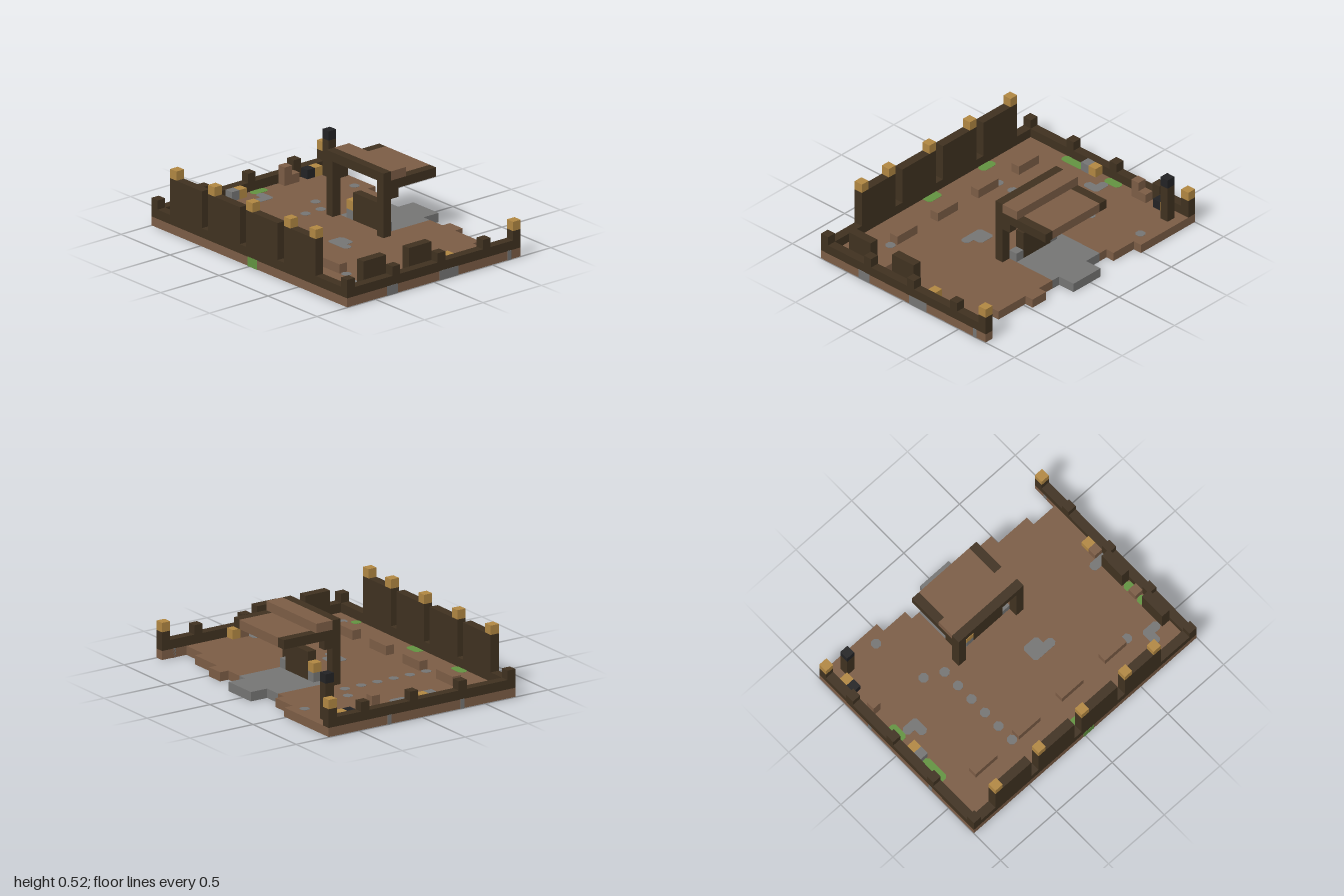
import * as THREE from 'three';

// Everything sits on a block grid: 23 wide (x), 8 high (y), 31 deep (z)
const U = 2 / 31;
const X = i => (i - 11.5) * U;
const Z = k => (k - 15.5) * U;

export function createModel() {
  const root = new THREE.Group();
  root.name = 'walledYard';
  const mat = (name, color) => {
    const m = new THREE.MeshStandardMaterial({ color });
    m.name = name;
    return m;
  };
  const brown = mat('brownEarth', 0x7b5c45);
  const dark = mat('darkTimber', 0x3f3120);
  const tan = mat('lanternTan', 0xb08642);
  const grey = mat('stoneGrey', 0x747473);
  const green = mat('mossGreen', 0x629240);
  const black = mat('charBlack', 0x222224);

  // Box covering grid cells i0..i1, j0..j1, k0..k1 inclusive
  function box(name, m, i0, i1, j0, j1, k0, k1) {
    const g = new THREE.BoxGeometry((i1 - i0 + 1) * U, (j1 - j0 + 1) * U, (k1 - k0 + 1) * U);
    const mesh = new THREE.Mesh(g, m);
    mesh.position.set((X(i0) + X(i1 + 1)) / 2, (j0 + j1 + 1) * U / 2, (Z(k0) + Z(k1 + 1)) / 2);
    mesh.name = name;
    root.add(mesh);
    return mesh;
  }

  // Cut-corner patch set through the floor, showing above and below
  function patch(name, m, i0, i1, k0, k1) {
    const e = 0.0015, c = 0.018;
    const a = X(i0) - (i0 === 0 ? e : 0), b = X(i1 + 1);
    const lo = -Z(k1 + 1) - (k1 === 30 ? e : 0), hi = -Z(k0) + (k0 === 0 ? e : 0);
    const pts = [[a + c, lo], [b - c, lo], [b, lo + c], [b, hi - c], [b - c, hi], [a + c, hi], [a, hi - c], [a, lo + c]];
    const s = new THREE.Shape(pts.map(p => new THREE.Vector2(...p)));
    const g = new THREE.ExtrudeGeometry(s, { depth: U + 0.002, bevelEnabled: false });
    g.rotateX(-Math.PI / 2);
    const mesh = new THREE.Mesh(g, m);
    mesh.name = name;
    root.add(mesh);
  }

  // Floor with a ragged right edge: [first row, last row, last column]
  for (const [k0, k1, i1] of [[0, 7, 22], [8, 10, 21], [11, 11, 20], [19, 20, 20],
    [21, 22, 21], [23, 26, 20], [27, 29, 19], [30, 30, 22]]) {
    const f = box('floor', brown, 0, i1, 0, 0, k0, k1);
    f.scale.y = 0.97;
    f.position.y += U * 0.015;
  }
  const mid = box('floor', brown, 0, 14, 0, 0, 12, 18);
  mid.scale.y = 0.97;
  mid.position.y += U * 0.015;

  // Stone floor and doorstep under the porch
  box('stoneFloor', grey, 15, 20, 0, 0, 12, 18);
  box('doorstep', grey, 21, 22, 0, 0, 14, 17);

  // Stone patches and stepping stones
  for (const i of [4, 6, 8, 10, 12, 14]) patch('steppingStone', grey, i, i, 9, 9);
  for (const p of [[12, 12, 2, 3], [11, 12, 3, 3], [15, 15, 7, 7], [21, 21, 6, 6], [9, 10, 17, 18],
    [9, 9, 17, 19], [4, 4, 25, 25], [2, 3, 27, 27], [3, 3, 27, 28], [12, 12, 28, 30],
    [5, 6, 30, 30], [12, 14, 30, 30], [21, 21, 30, 30], [6, 6, 0, 0], [15, 15, 0, 0]])
    patch('stonePatch', grey, ...p);

  // Moss patches
  for (const p of [[6, 8, 1, 1], [12, 13, 1, 1], [1, 1, 7, 8], [0, 1, 15, 16], [1, 1, 26, 26],
    [6, 6, 29, 29], [8, 8, 29, 29]])
    patch('mossPatch', green, ...p);

  // Low front and back walls with stubs and corner lanterns
  for (const k of [0, 30]) {
    box('lowWall', dark, 0, 22, 1, 1, k, k);
    for (const i of [0, 6, 12, 18, 22]) box('wallStub', dark, i, i, 2, 2, k, k);
    box('cornerLantern', tan, 22, 22, 3, 3, k, k);
  }

  // Left wall: low base, tall panels with slits, lanterns on the posts
  box('leftWallBase', dark, 0, 0, 1, 1, 1, 29);
  for (const [k0, k1] of [[3, 7], [9, 13], [15, 19], [21, 25]])
    box('leftWallPanel', dark, 0, 0, 2, 5, k0, k1);
  for (const k of [3, 9, 15, 21, 25]) box('wallLantern', tan, 0, 0, 6, 6, k, k);

  // Benches
  for (const k of [4, 10, 16, 22]) box('bench', brown, 4, 4, 1, 1, k, k + 2);

  // Boards and boxes along the front wall
  for (const i of [3, 9]) box('frontBoard', dark, i, i + 2, 1, 3, 29, 29);
  box('crate', brown, 7, 7, 1, 1, 29, 29);
  box('crate', brown, 13, 13, 1, 1, 29, 29);
  box('strawBox', tan, 14, 14, 1, 1, 29, 29);

  // Goods along the back wall
  box('stoneBlock', grey, 9, 9, 1, 1, 1, 1);
  box('strawBox', tan, 10, 10, 1, 1, 1, 1);
  box('tallCrate', brown, 16, 16, 1, 2, 1, 1);
  box('crate', brown, 17, 17, 1, 1, 1, 1);
  box('coalBlock', black, 19, 19, 1, 1, 1, 1);
  box('strawBox', tan, 20, 20, 1, 1, 1, 1);
  box('chimneyPost', dark, 21, 21, 1, 4, 2, 2);
  box('chimneyTop', black, 21, 21, 5, 5, 2, 2);

  // Porch: two posts with brackets and side beams, a crossbeam and a stepped roof
  for (const k of [11, 19]) {
    box('porchPost', dark, 14, 14, 1, 6, k, k);
    box('porchBracket', dark, 15, 15, 5, 5, k, k);
    box('porchSideBeam', dark, 15, 20, 6, 6, k, k);
  }
  box('porchCrossbeam', dark, 14, 14, 7, 7, 11, 19);
  box('upperRoof', brown, 15, 16, 7, 7, 11, 19);
  box('lowerRoof', brown, 17, 20, 6, 6, 12, 18);

  // Hearth block with side stones and a lamp
  box('hearth', dark, 15, 15, 1, 3, 14, 17);
  for (const k of [13, 18]) box('hearthStone', grey, 15, 15, 1, 1, k, k);
  box('hearthLamp', tan, 15, 15, 2, 2, 13, 13);

  return root;
}
